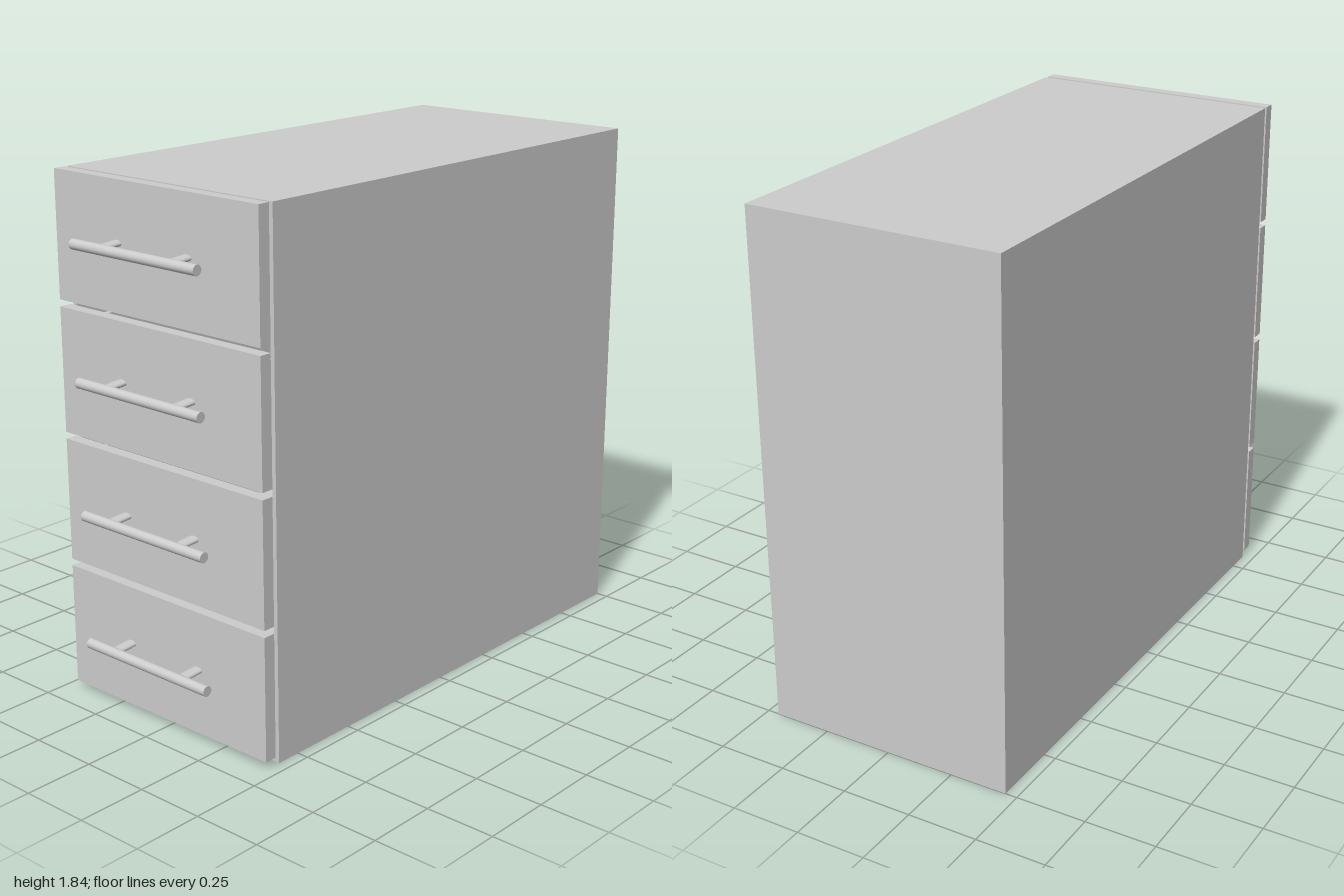
import * as THREE from 'three';

const material = new THREE.MeshStandardMaterial({ color: 0xcccccc });

// Box given by its minimum and maximum corners
function box(name, [x0, y0, z0], [x1, y1, z1]) {
  const mesh = new THREE.Mesh(new THREE.BoxGeometry(x1 - x0, y1 - y0, z1 - z0), material);
  mesh.name = name;
  mesh.position.set((x0 + x1) / 2, (y0 + y1) / 2, (z0 + z1) / 2);
  return mesh;
}

// Carcass: five boards, open towards -x
function createCarcass() {
  const carcass = new THREE.Group();
  carcass.name = 'carcass';
  const x0 = -0.84, x1 = 1, h = 1.84, d = 0.458, t = 0.015;
  carcass.add(
    box('bottomBoard', [x0, 0, -d], [x1, t, d]),
    box('topBoard', [x0, h - t, -d], [x1, h, d]),
    box('backBoard', [x1 - t, t, -d], [x1, h - t, d]),
    box('sideBoard', [x0, t, d - t], [x1 - t, h - t, d]),
    box('sideBoard', [x0, t, -d], [x1 - t, h - t, t - d]),
  );
  return carcass;
}

// Bar handle on two flattened posts
function createHandle() {
  const handle = new THREE.Group();
  handle.name = 'handle';
  const bar = new THREE.Mesh(new THREE.CylinderGeometry(0.018, 0.018, 0.56, 20), material);
  bar.name = 'handleBar';
  bar.rotation.x = Math.PI / 2;
  bar.position.x = -0.982;
  handle.add(bar);
  for (const z of [-0.168, 0.148]) {
    const post = new THREE.Mesh(new THREE.CylinderGeometry(0.011, 0.011, 0.085, 16), material);
    post.name = 'handlePost';
    post.scale.z = 2;
    post.rotation.z = Math.PI / 2 + 0.06;
    post.position.set(-0.935, 0.002, z);
    handle.add(post);
  }
  return handle;
}

// Drawer: front panel, open-topped tray behind it, and handle
function createDrawer(y) {
  const drawer = new THREE.Group();
  drawer.name = 'drawer';
  const x0 = -0.855, x1 = 0.9, w = 0.412, h = 0.395, t = 0.02;
  drawer.add(
    box('drawerFront', [-0.897, 0, -0.458], [-0.853, 0.436, 0.455]),
    box('trayBottom', [x0, 0, -w], [x1, t, w]),
    box('trayFront', [x0, t, -w], [x0 + t, h, w]),
    box('trayBack', [x1 - t, t, -w], [x1, h, w]),
    box('traySide', [x0 + t, t, w - t], [x1 - t, h, w]),
    box('traySide', [x0 + t, t, -w], [x1 - t, h, t - w]),
  );
  const handle = createHandle();
  handle.position.y = 0.226;
  drawer.add(handle);
  drawer.position.y = y;
  return drawer;
}

export function createModel() {
  const cabinet = new THREE.Group();
  cabinet.name = 'drawerCabinet';
  cabinet.add(createCarcass());
  for (let i = 0; i < 4; i++) cabinet.add(createDrawer(0.024 + i * 0.46));
  return cabinet;
}
